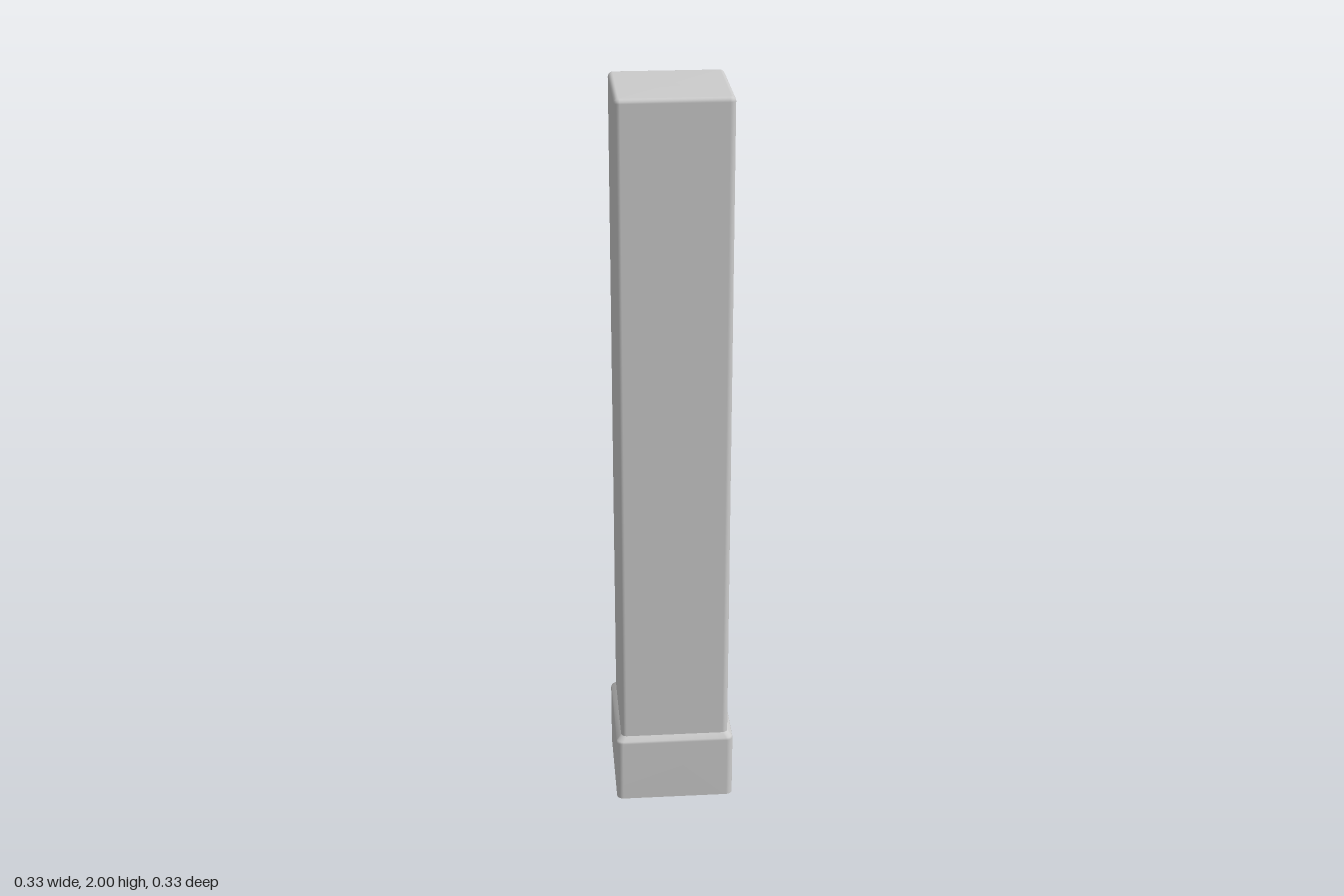
import * as THREE from 'three';

const SEG = 5; // steps around each rounded corner

// Outline of a rounded square, half-width h, corner radius r
function ring(h, r, y) {
  const pts = [];
  for (let c = 0; c < 4; c++) {
    const mid = Math.PI / 4 + c * Math.PI / 2;
    const cx = Math.sign(Math.cos(mid)) * (h - r);
    const cz = Math.sign(Math.sin(mid)) * (h - r);
    for (let s = 0; s <= SEG; s++) {
      const a = (c + s / SEG) * Math.PI / 2;
      pts.push(cx + r * Math.cos(a), y, cz + r * Math.sin(a));
    }
  }
  return pts;
}

// Skin a stack of [halfWidth, cornerRadius, y] sections, open below
function loft(sections, capped) {
  const n = 4 * (SEG + 1);
  const pos = sections.flatMap(([h, r, y]) => ring(h, r, y));
  const idx = [];
  for (let i = 0; i < sections.length - 1; i++) {
    for (let j = 0; j < n; j++) {
      const a = i * n + j, b = i * n + (j + 1) % n;
      idx.push(a, a + n, b, b, a + n, b + n);
    }
  }
  if (capped) {
    const last = (sections.length - 1) * n, centre = sections.length * n;
    pos.push(0, sections[sections.length - 1][2], 0);
    for (let j = 0; j < n; j++) idx.push(last + j, centre, last + (j + 1) % n);
  }
  const g = new THREE.BufferGeometry();
  g.setAttribute('position', new THREE.Float32BufferAttribute(pos, 3));
  g.setIndex(idx);
  g.computeVertexNormals();
  return g;
}

export function createModel() {
  const group = new THREE.Group();
  group.name = 'post';
  const material = new THREE.MeshStandardMaterial({ color: 0xcccccc, side: THREE.DoubleSide });
  const add = (name, geometry) => {
    const mesh = new THREE.Mesh(geometry, material);
    mesh.name = name;
    group.add(mesh);
  };

  // Hollow base sleeve with a sloping shoulder
  add('base', loft([
    [0.163, 0.018, 0],
    [0.163, 0.018, 0.18],
    [0.161, 0.018, 0.186],
    [0.149, 0.015, 0.198],
  ], false));

  // Tall hollow shaft with a softly rounded top edge
  const R = 0.012, shaft = [[0.149, 0.015, 0.197]];
  for (let i = 0; i <= 4; i++) {
    const a = i / 4 * Math.PI / 2, inset = R * (1 - Math.cos(a));
    shaft.push([0.149 - inset, 0.015 - inset, 2 - R + R * Math.sin(a)]);
  }
  add('shaft', loft(shaft, true));

  return group;
}
